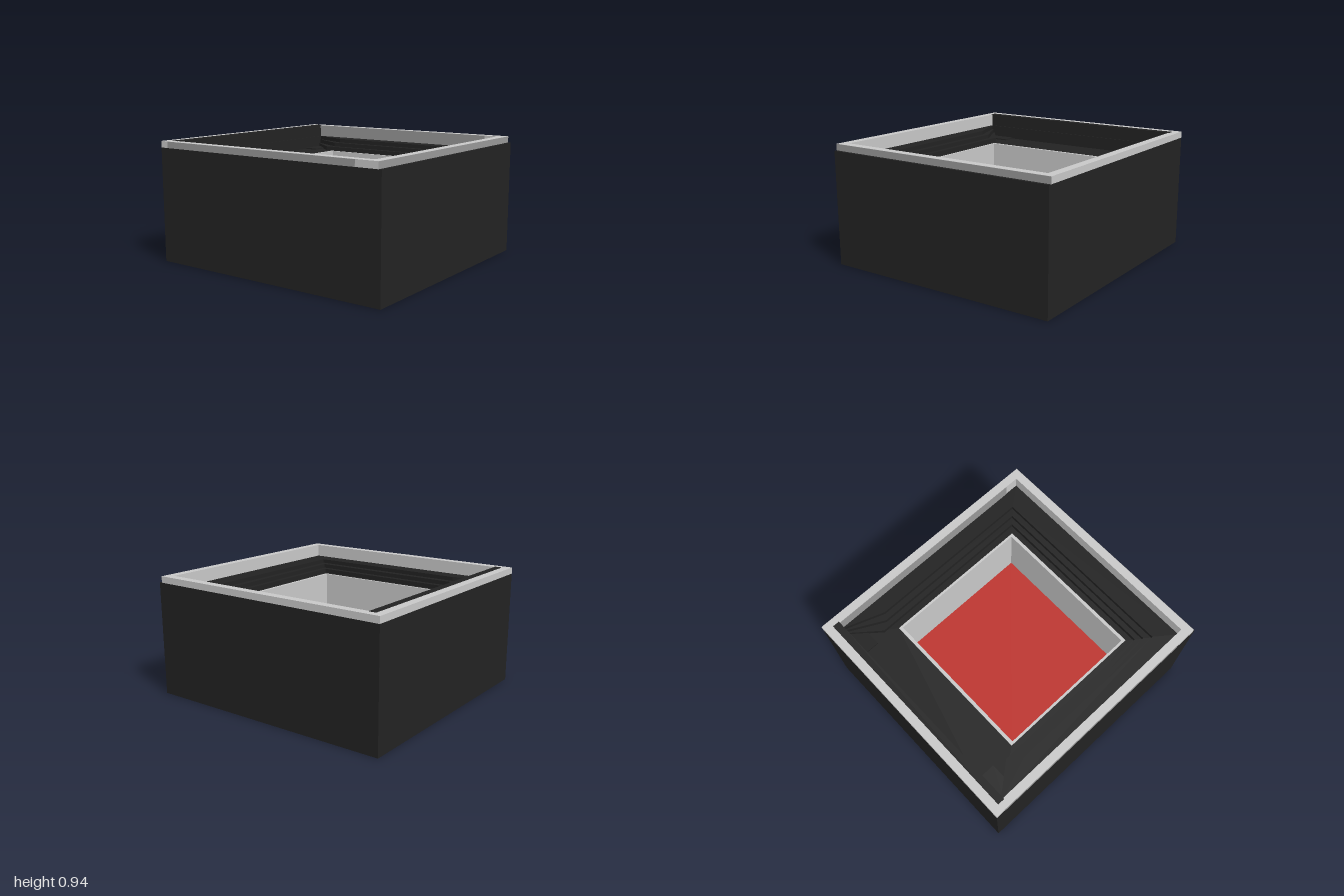
import * as THREE from 'three';

const mat = (name, color) => Object.assign(new THREE.MeshStandardMaterial({ color }), { name });

export function createModel() {
  const model = new THREE.Group();
  model.name = 'steppedBox';
  const black = mat('black', 0x222222);
  const light = mat('lightGrey', 0xc8c8c8);
  const grey = mat('midGrey', 0x989898);
  const red = mat('red', 0xbc342e);

  const add = (name, geometry, material) => {
    const mesh = new THREE.Mesh(geometry, material);
    mesh.name = name;
    model.add(mesh);
    return mesh;
  };
  // Box given by its limits on each axis
  const box = (name, material, x0, x1, y0, y1, z0, z1) =>
    add(name, new THREE.BoxGeometry(x1 - x0, y1 - y0, z1 - z0), material)
      .position.set((x0 + x1) / 2, (y0 + y1) / 2, (z0 + z1) / 2);
  // Rectangle outline, symmetric in z
  const rect = (x0, x1, z) => [[x0, -z], [x1, -z], [x1, z], [x0, z]];
  const toPoints = (list) => list.map(([x, z]) => new THREE.Vector2(x, z));
  // Horizontal ring between an outer and an inner outline
  const ring = (name, material, outer, inner, y0, y1) => {
    const shape = new THREE.Shape(toPoints(outer));
    shape.holes.push(new THREE.Path(toPoints(inner)));
    const geometry = new THREE.ExtrudeGeometry(shape, { depth: y1 - y0, bevelEnabled: false });
    geometry.rotateX(-Math.PI / 2).translate(0, y0, 0);
    add(name, geometry, material);
  };

  const outside = rect(-1, 1, 0.945);
  const opening = rect(-0.93, 0.91, 0.88);
  const lining = rect(-0.95, 0.93, 0.9);
  const cellOuter = rect(-0.56, 0.625, 0.625);

  // Outer body
  box('base', black, -1, 1, 0, 0.26, -0.945, 0.945);
  ring('lowerBody', black, outside, cellOuter, 0.26, 0.74);
  ring('upperWall', black, outside, lining, 0.74, 0.89);

  // Light lining and top frame
  ring('lining', light, lining, opening, 0.74, 0.89);
  ring('topFrame', light, rect(-1, 0.975, 0.945), opening, 0.89, 0.94);

  // Darker faces on the frame
  box('frontFrameFace', grey, -0.93, 0.8, 0.89, 0.939, 0.944, 0.947);
  box('sideFrameFace', grey, 0.974, 0.977, 0.89, 0.939, -0.945, 0.945);
  box('backInnerFace', grey, -0.88, 0.8, 0.84, 0.939, -0.881, -0.877);

  // Tall black wall on one side
  box('sideWall', black, -0.935, -0.88, 0.74, 0.942, -0.89, 0.89);

  // Terraces stepping down to the cell, running diagonally into two corners
  const tiers = [
    [0.755, 0.76, -0.57, 0.84],
    [0.71, 0.715, -0.6, 0.808],
    [0.67, 0.675, -0.66, 0.775],
  ];
  tiers.forEach(([x, z, bend, top], i) => {
    const corner = 0.87 - i * 0.012;
    const hole = [[x, -z], [x, z], [bend, z], [-0.87, corner], [-0.87, -corner], [bend, -z]];
    ring('terrace' + (i + 1), black, rect(-0.885, 0.911, 0.881), hole, 0.738, top);
  });
  for (const s of [-1, 1]) {
    const z = s * 0.755;
    box('cornerPad', black, -0.865, -0.755, 0.738, 0.75, z - 0.115, z + 0.115);
  }

  // Central cell with red floor
  ring('cellLining', light, cellOuter, rect(-0.535, 0.6, 0.607), 0.26, 0.747);
  box('cellFloor', red, -0.54, 0.605, 0.255, 0.285, -0.612, 0.612);

  return model;
}
